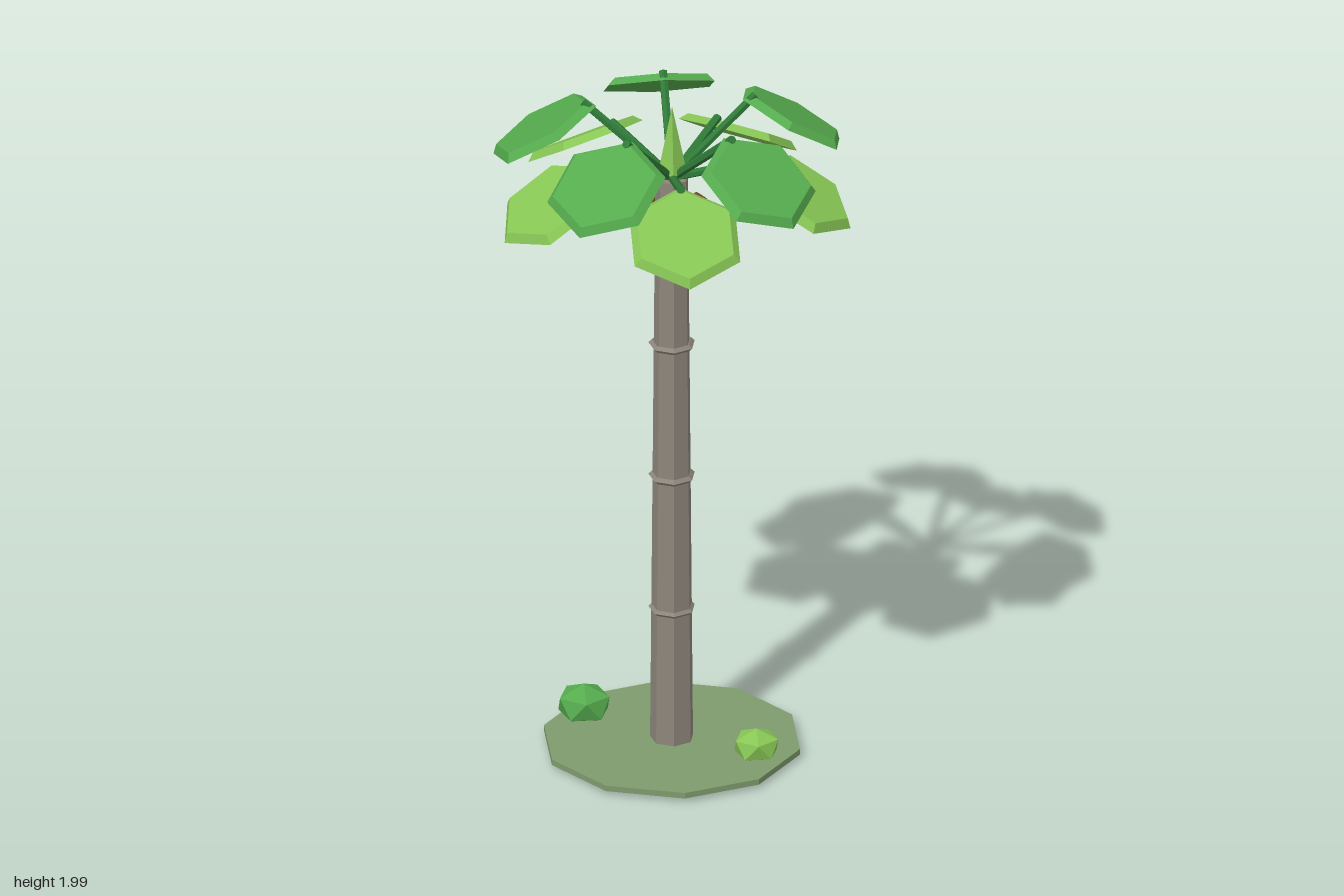
import * as THREE from 'three';

const paint = (name, color) => {
  const m = new THREE.MeshStandardMaterial({ color, flatShading: true });
  m.name = name;
  return m;
};

export function createModel() {
  const mats = {
    bark: paint('bark grey', 0x8c857a),
    ground: paint('mossy ground', 0x7f9b6e),
    light: paint('light leaf green', 0x87c655),
    dark: paint('deep leaf green', 0x55ab4e),
    stem: paint('stem green', 0x2f7a38),
    nut: paint('coconut brown', 0x7a4a28),
  };
  const tree = new THREE.Group();
  tree.name = 'palmTree';

  const add = (name, geo, mat, x = 0, y = 0, z = 0, parent = tree) => {
    const mesh = new THREE.Mesh(geo, mat);
    mesh.name = name;
    mesh.position.set(x, y, z);
    parent.add(mesh);
    return mesh;
  };

  // Twenty-sided lump standing on a corner
  const lump = (r, ry) => new THREE.IcosahedronGeometry(1, 0)
    .rotateZ(Math.atan(2 / (1 + Math.sqrt(5))))
    .rotateY(Math.PI / 2)
    .scale(r, ry, r);

  // Ground disc and small bushes
  add('groundDisc', new THREE.CylinderGeometry(0.367, 0.367, 0.017, 10), mats.ground, 0, 0.025, 0);
  add('rightBush', lump(0.082, 0.06), mats.dark, -0.23, 0.065, -0.18);
  add('leftBush', lump(0.07, 0.051), mats.light, 0.225, 0.058, 0.125);

  // Tapered trunk with rings
  add('trunk', new THREE.CylinderGeometry(0.047, 0.062, 1.74, 7), mats.bark, 0, 0.9, 0);
  for (const y of [0.437, 0.847, 1.255]) {
    const ring = new THREE.TorusGeometry(0.057, 0.01, 4, 7).rotateX(Math.PI / 2).rotateY(-Math.PI / 2);
    add('trunkRing', ring, mats.bark, 0, y, 0);
  }

  // Coconuts under the crown
  add('backCoconut', lump(0.06, 0.075), mats.nut, -0.07, 1.677, -0.055);
  add('frontCoconut', lump(0.06, 0.075), mats.nut, 0.063, 1.677, 0.062);

  // Pointed centre shoot
  add('centreShoot', new THREE.ConeGeometry(0.043, 0.2, 5), mats.light, 0, 1.89, 0);

  // Ten fronds, alternating low light ones and high deep green ones
  const leafGeo = new THREE.CylinderGeometry(0.15, 0.172, 0.022, 6);
  for (let i = 0; i < 10; i++) {
    const high = i % 2 === 1;
    const frond = new THREE.Group();
    frond.name = high ? 'upperFrond' : 'lowerFrond';
    frond.rotation.y = (i * Math.PI) / 5;
    tree.add(frond);

    const reach = 0.255;
    const rise = high ? 0.208 : 0.082;
    const length = Math.hypot(reach, rise);
    const stem = add('stem', new THREE.CylinderGeometry(0.0125, 0.0125, length, 6),
      mats.stem, 0, 1.77 + rise / 2, reach / 2, frond);
    stem.rotation.x = Math.atan2(reach, rise);

    const leaf = add('leaf', leafGeo, high ? mats.dark : mats.light, 0, high ? 1.89 : 1.762, 0.37, frond);
    leaf.rotation.x = 0.54;
  }
  return tree;
}
